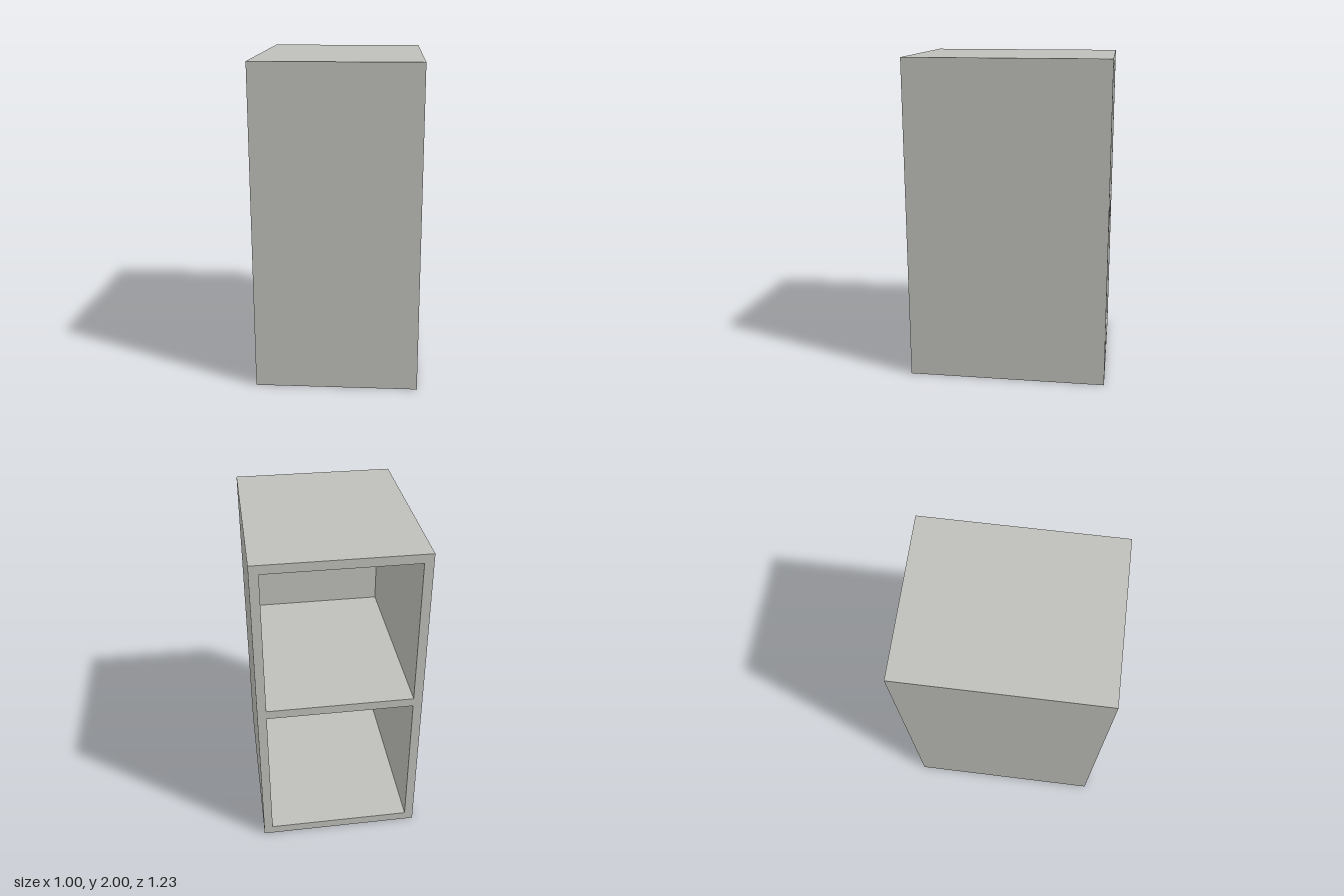
import * as THREE from 'three';

const W = 1, H = 2, D = 1.23;   // outer size
const T = 0.055;                // board thickness
const PANEL = 0.009;            // thin closing panel

export function createModel() {
  const group = new THREE.Group();
  group.name = 'cabinet';
  const board = new THREE.MeshStandardMaterial({ color: 0xbfbfba });
  board.name = 'pale grey board';

  const add = (name, w, h, d, x, y, z) => {
    const mesh = new THREE.Mesh(new THREE.BoxGeometry(w, h, d), board);
    mesh.name = name;
    mesh.position.set(x, y, z);
    group.add(mesh);
  };

  const depth = D - PANEL, z = -PANEL / 2;

  // Full-height side boards
  for (const [name, s] of [['leftSide', 1], ['rightSide', -1]])
    add(name, T, H, depth, s * (W - T) / 2, H / 2, z);

  // Bottom, middle shelf and top, fitted between the sides
  ['bottom', 'shelf', 'top'].forEach((name, i) =>
    add(name, W - 2 * T, T, depth, 0, T / 2 + i * (H - T) / 2, z));

  // Thin panel closing the +z face; the compartments open towards -z
  add('closingPanel', W, H, PANEL, 0, H / 2, (D - PANEL) / 2);

  return group;
}
